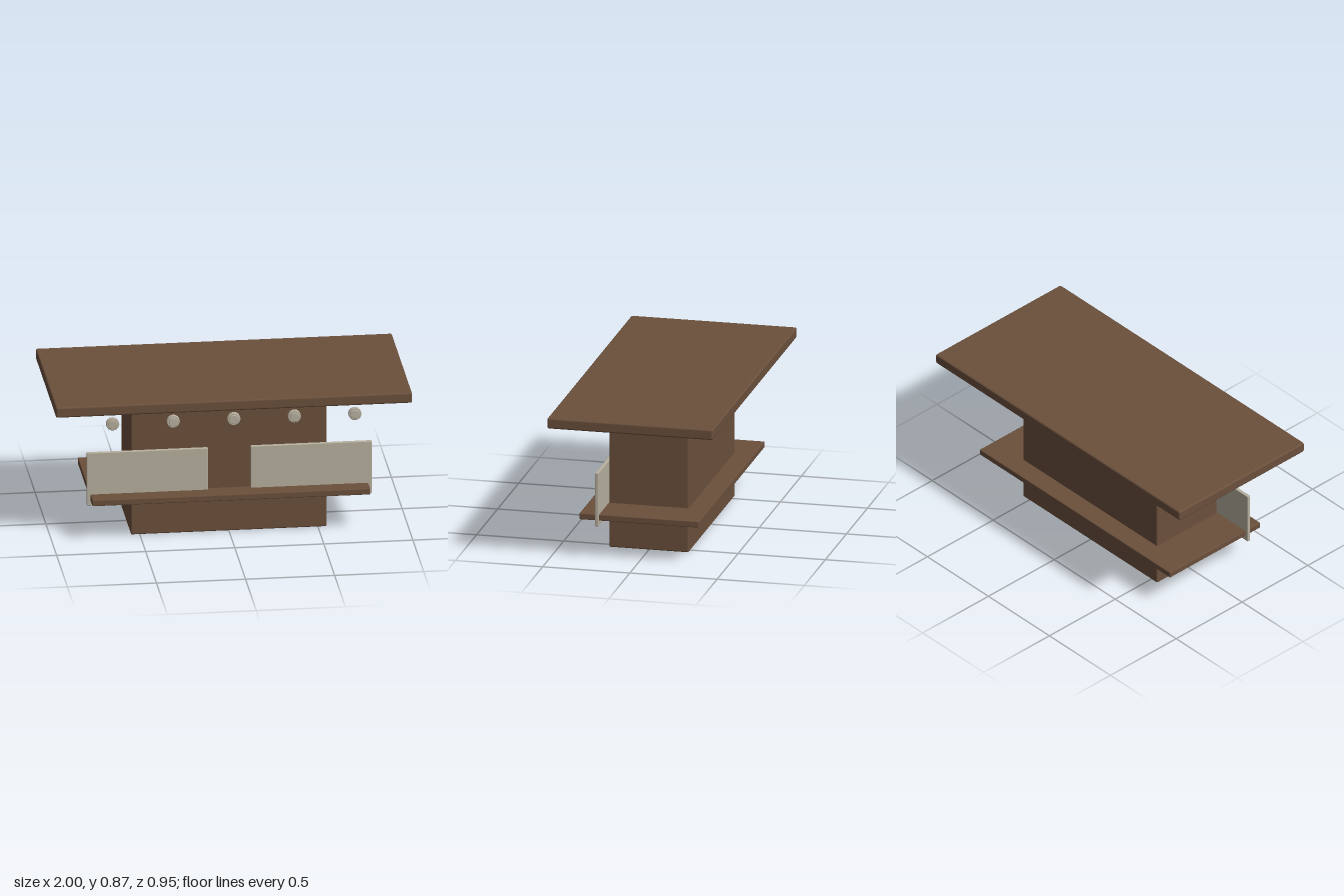
import * as THREE from 'three';
import { RoundedBoxGeometry } from 'three/addons/geometries/RoundedBoxGeometry.js';

export function createModel() {
  const model = new THREE.Group();
  model.name = 'counterTable';

  const wood = new THREE.MeshStandardMaterial({ color: 0x6b503c });
  wood.name = 'brown wood';
  const metal = new THREE.MeshStandardMaterial({ color: 0xb8b09f });
  metal.name = 'pale metal';

  // Softly rounded slab given by its size and centre
  function slab(name, material, [w, h, d], [x, y, z], radius) {
    const mesh = new THREE.Mesh(new RoundedBoxGeometry(w, h, d, 2, radius), material);
    mesh.name = name;
    mesh.position.set(x, y, z);
    model.add(mesh);
  }

  slab('pedestal', wood, [1.1, 0.805, 0.456], [0, 0.4025, 0], 0.008);
  slab('tableTop', wood, [2, 0.061, 0.95], [0, 0.8375, 0], 0.01);
  slab('shelf', wood, [1.56, 0.036, 0.686], [0, 0.24, 0], 0.005);

  // Pair of upright front panels
  for (const side of [-1, 1]) {
    slab(side > 0 ? 'leftPanel' : 'rightPanel', metal, [0.68, 0.312, 0.02], [side * 0.46, 0.349, 0.239], 0.004);
  }

  // Row of stepped knobs, each a wide disc with a narrower cap
  const profile = [[0, 0], [0.034, 0], [0.037, 0.003], [0.037, 0.019], [0.034, 0.022],
    [0.026, 0.022], [0.026, 0.029], [0.024, 0.031], [0, 0.031]];
  const knobGeometry = new THREE.LatheGeometry(profile.map(([r, y]) => new THREE.Vector2(r, y)), 16)
    .rotateX(Math.PI / 2)
    .toNonIndexed();
  knobGeometry.computeVertexNormals();
  for (let i = -2; i <= 2; i++) {
    const knob = new THREE.Mesh(knobGeometry, metal);
    knob.name = 'knob';
    knob.position.set(i * 0.34, 0.751, 0.44);
    model.add(knob);
  }

  return model;
}
